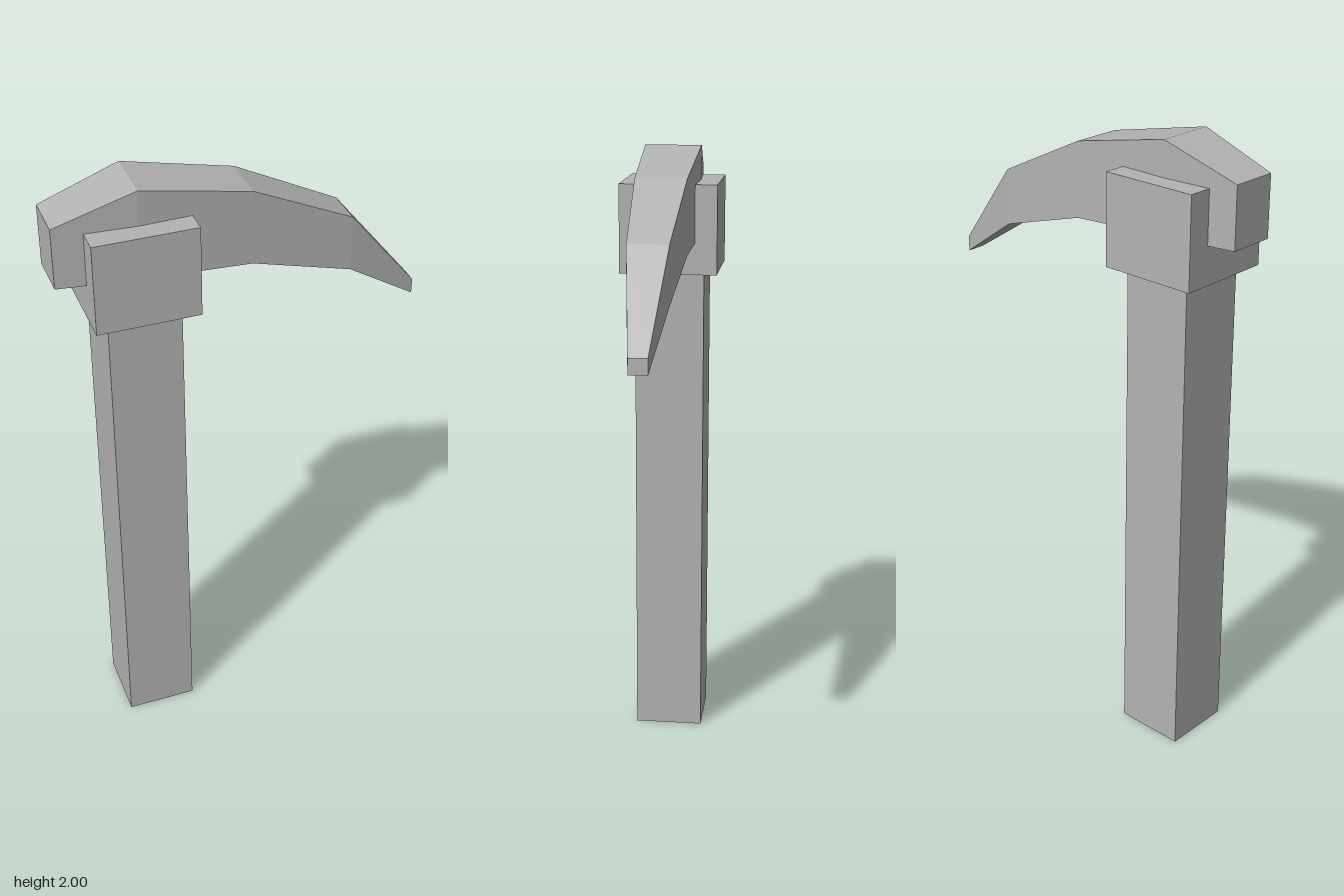
import * as THREE from 'three';

const grey = new THREE.MeshStandardMaterial({ color: 0xb3b3b3, flatShading: true });
grey.name = 'plain grey';

function box(name, w, h, d, x, y) {
  const mesh = new THREE.Mesh(new THREE.BoxGeometry(w, h, d), grey);
  mesh.name = name;
  mesh.position.set(x, y, 0);
  return mesh;
}

// Joins rectangular cross-sections [x, top, bottom, half width] along x and caps both ends
function loftGeometry(sections) {
  const rings = sections.map(([x, top, bottom, w]) => [
    [x, top, w], [x, top, -w], [x, bottom, -w], [x, bottom, w],
  ]);
  const positions = [];
  const quad = (a, b, c, d) => positions.push(...a, ...b, ...c, ...a, ...c, ...d);
  for (let i = 0; i < rings.length - 1; i++) {
    for (let k = 0; k < 4; k++) {
      const n = (k + 1) % 4;
      quad(rings[i][k], rings[i + 1][k], rings[i + 1][n], rings[i][n]);
    }
  }
  quad(...rings[0]);
  quad(...[...rings[rings.length - 1]].reverse());
  const geometry = new THREE.BufferGeometry();
  geometry.setAttribute('position', new THREE.Float32BufferAttribute(positions, 3));
  geometry.computeVertexNormals();
  return geometry;
}

export function createModel() {
  const group = new THREE.Group();
  group.name = 'pick';

  // Square shaft and the block that clasps the head
  group.add(box('handle', 0.225, 1.605, 0.225, -0.322, 0.8025));
  group.add(box('collar', 0.316, 0.287, 0.316, -0.322, 1.7465));

  // Curved head, blunt at the back and tapering to a drooping tip
  const head = new THREE.Mesh(loftGeometry([
    [-0.571, 1.918, 1.727, 0.075],
    [-0.322, 2.0, 1.717, 0.092],
    [0.02, 1.928, 1.692, 0.081],
    [0.341, 1.773, 1.594, 0.063],
    [0.571, 1.49, 1.441, 0.029],
  ]), grey);
  head.name = 'head';
  group.add(head);

  return group;
}
